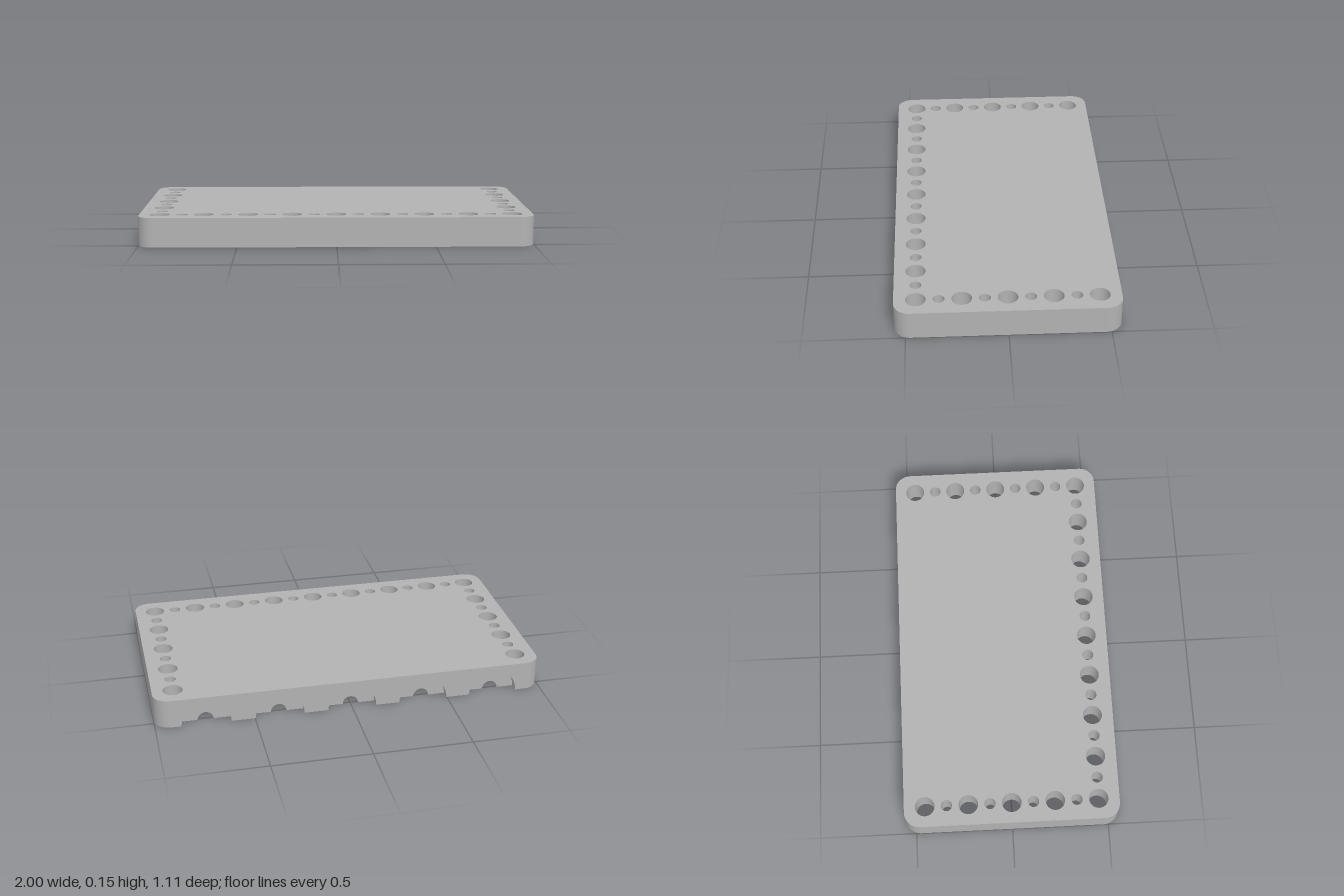
import * as THREE from 'three';

const W = 1, D = 0.555, H = 0.15, CORNER = 0.08;   // half width, half depth, height, corner radius
const RECESS_R = 0.125, RECESS_DEPTH = 0.045;      // half-round recesses in the back edge
const GROOVE_R = 0.04, GROOVE_END = 0.37;          // grooves along the underside
const GROOVES = [-2, -1, 0, 1, 2].map(i => i * 0.372);
const SEG = 16;

export function createModel() {
  const model = new THREE.Group();
  const grey = new THREE.MeshStandardMaterial({ color: 0xb2b2b2, side: THREE.DoubleSide });
  grey.name = 'grey';

  const add = (name, geometry, x = 0, y = 0, z = 0) => {
    const mesh = new THREE.Mesh(geometry, grey);
    mesh.name = name;
    mesh.position.set(x, y, z);
    model.add(mesh);
    return mesh;
  };

  // Hole row along the front and both sides, alternating large and small
  const holes = [];
  const step = 0.1119, hx = 0.895, hz = 0.4476;
  const radius = i => (i % 2 ? 0.029 : 0.05);
  for (let i = -8; i <= 8; i++) holes.push({ x: i * step, z: hz, r: radius(i) });
  for (const x of [-hx, hx]) {
    for (let i = -4; i < 4; i++) holes.push({ x, z: i * step, r: radius(i) });
  }

  // Rounded outline with holes; notched leaves out the recesses and grooves
  const plate = (notched, sign) => {
    const s = new THREE.Shape();
    const cx = W - CORNER, cy = D - CORNER;
    s.moveTo(-cx, -D);
    if (notched) {
      for (const x of GROOVES) {
        const floor = -D + RECESS_DEPTH;
        s.lineTo(x - RECESS_R, -D);
        s.lineTo(x - RECESS_R, floor);
        s.lineTo(x - GROOVE_R, floor);
        s.lineTo(x - GROOVE_R, GROOVE_END);
        s.lineTo(x + GROOVE_R, GROOVE_END);
        s.lineTo(x + GROOVE_R, floor);
        s.lineTo(x + RECESS_R, floor);
        s.lineTo(x + RECESS_R, -D);
      }
    }
    s.lineTo(cx, -D);
    s.absarc(cx, -cy, CORNER, -Math.PI / 2, 0);
    s.absarc(cx, cy, CORNER, 0, Math.PI / 2);
    s.absarc(-cx, cy, CORNER, Math.PI / 2, Math.PI);
    s.absarc(-cx, -cy, CORNER, Math.PI, Math.PI * 1.5);
    for (const h of holes) {
      s.holes.push(new THREE.Path().absarc(h.x, sign * h.z, h.r, 0, Math.PI * 2, true));
    }
    return new THREE.ShapeGeometry(s, SEG);
  };
  add('topFace', plate(false, -1).rotateX(-Math.PI / 2), 0, H, 0);
  add('bottomFace', plate(true, 1).rotateX(Math.PI / 2));

  // Walls of the through holes
  for (const h of holes) {
    add('holeWall', new THREE.CylinderGeometry(h.r, h.r, H, SEG * 2, 1, true), h.x, H / 2, h.z);
  }

  // Front and side walls
  add('frontWall', new THREE.PlaneGeometry(2 * (W - CORNER), H), 0, H / 2, D);
  for (const s of [-1, 1]) {
    add('sideWall', new THREE.PlaneGeometry(2 * (D - CORNER), H).rotateY(s * Math.PI / 2), s * W, H / 2, 0);
  }

  // Rounded corners
  [[1, 1], [1, -1], [-1, -1], [-1, 1]].forEach(([sx, sz], i) => {
    const corner = new THREE.CylinderGeometry(CORNER, CORNER, H, SEG * 2, 1, true, i * Math.PI / 2, Math.PI / 2);
    add('cornerWall', corner, sx * (W - CORNER), H / 2, sz * (D - CORNER));
  });

  // Back wall with half-round openings
  const back = new THREE.Shape();
  back.moveTo(-(W - CORNER), 0);
  for (const x of GROOVES) {
    back.lineTo(x - RECESS_R, 0);
    back.absarc(x, 0, RECESS_R, Math.PI, 0, true);
  }
  back.lineTo(W - CORNER, 0);
  back.lineTo(W - CORNER, H);
  back.lineTo(-(W - CORNER), H);
  add('backWall', new THREE.ShapeGeometry(back, SEG).rotateY(Math.PI), 0, 0, -D);

  // Recess and groove surfaces
  const halfTube = (r, length) =>
    new THREE.CylinderGeometry(r, r, length, SEG * 2, 1, true, Math.PI / 2, Math.PI).rotateX(Math.PI / 2);
  const floorZ = -D + RECESS_DEPTH;
  for (const x of GROOVES) {
    add('recessWall', halfTube(RECESS_R, RECESS_DEPTH), x, 0, -D + RECESS_DEPTH / 2);
    add('recessFloor',
      new THREE.RingGeometry(GROOVE_R, RECESS_R, SEG * 2, 1, 0, Math.PI).rotateY(Math.PI), x, 0, floorZ);
    add('groove', halfTube(GROOVE_R, GROOVE_END - floorZ), x, 0, (GROOVE_END + floorZ) / 2);
    add('grooveEnd',
      new THREE.CircleGeometry(GROOVE_R, SEG * 2, 0, Math.PI).rotateY(Math.PI), x, 0, GROOVE_END);
  }
  return model;
}
